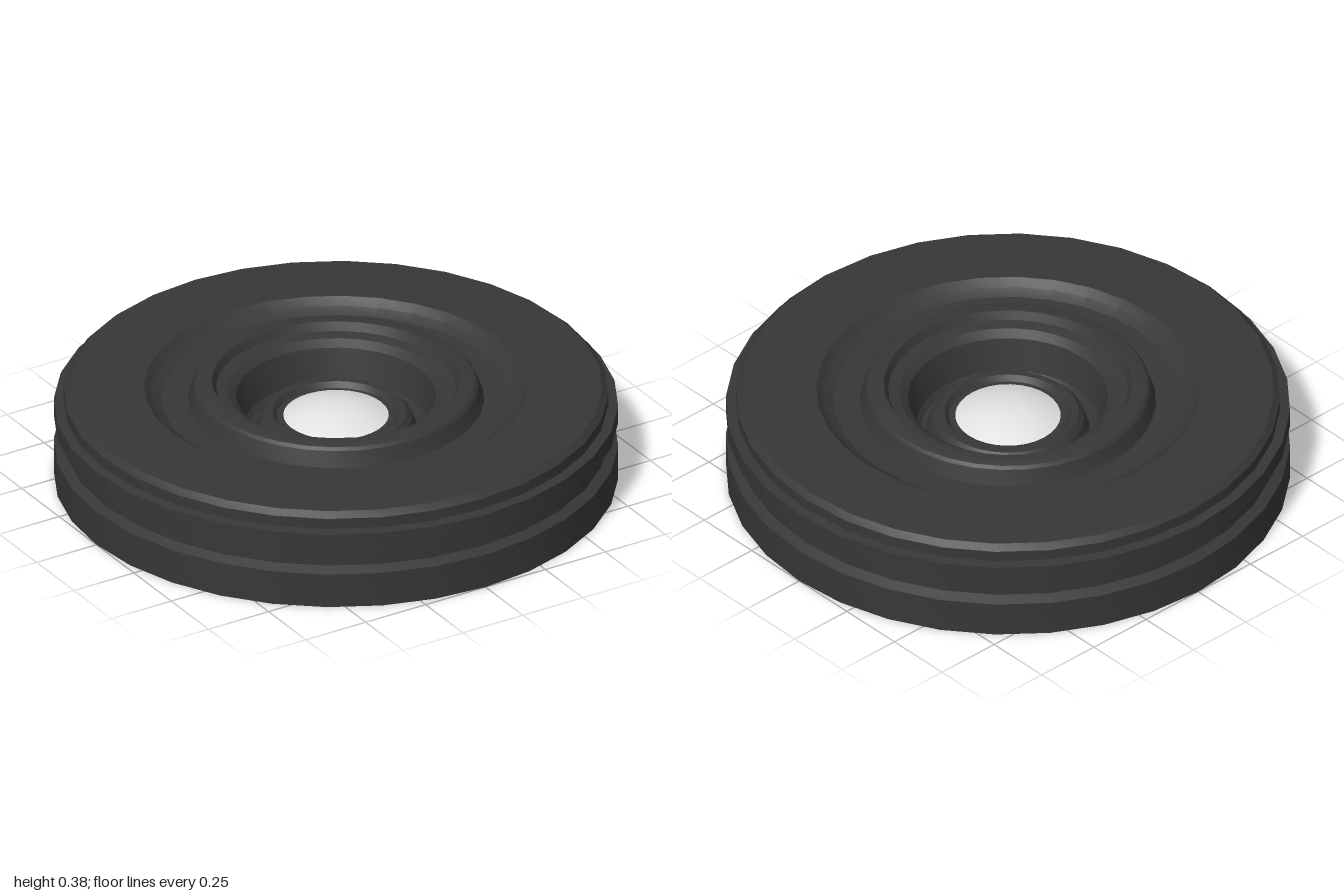
import * as THREE from 'three';
import { toCreasedNormals } from 'three/addons/utils/BufferGeometryUtils.js';

const SEGMENTS = 32;

export function createModel() {
  const model = new THREE.Group();
  model.name = 'roundSpeaker';

  const black = new THREE.MeshStandardMaterial({ color: 0x373737, side: THREE.DoubleSide });
  black.name = 'black rubber';
  const silver = new THREE.MeshStandardMaterial({ color: 0xe2e2e2, side: THREE.DoubleSide });
  silver.name = 'silver';

  // Turns a list of [radius, height] points into a round part with crisp edges
  const turn = (name, profile, material, crease = 0.35) => {
    const points = profile.map(([r, y]) => new THREE.Vector2(r, y));
    const geometry = toCreasedNormals(new THREE.LatheGeometry(points, SEGMENTS), crease);
    const mesh = new THREE.Mesh(geometry, material);
    mesh.name = name;
    model.add(mesh);
  };

  // Outer wall: bottom lip, recessed band, raised band and bevelled top edge
  turn('outerWall', [
    [0.975, 0], [1, 0], [1, 0.13], [0.965, 0.148], [0.965, 0.225],
    [1, 0.225], [1, 0.29], [0.965, 0.295], [0.965, 0.335], [0.943, 0.355],
  ], black);

  // Flat top plate with the groove around the raised collar
  turn('topPlate', [
    [0.943, 0.355], [0.68, 0.355], [0.655, 0.328], [0.62, 0.31], [0.525, 0.305],
  ], black);

  // Raised collar, stepping down on its inside
  turn('collar', [
    [0.525, 0.305], [0.505, 0.362], [0.495, 0.373], [0.47, 0.38],
    [0.44, 0.38], [0.425, 0.35], [0.385, 0.342], [0.355, 0.32],
  ], black);

  // Deep trough and the ridge that holds the dome
  turn('innerTrough', [
    [0.355, 0.32], [0.325, 0.2], [0.31, 0.18], [0.29, 0.18],
    [0.27, 0.235], [0.25, 0.255], [0.225, 0.255], [0.21, 0.235], [0.18, 0.235],
  ], black);

  // Shallow silver dome in the middle
  const dome = [];
  for (let i = 0; i <= 8; i++) {
    const r = 0.187 * (1 - i / 8);
    dome.push([r, 0.285 - 0.045 * (r / 0.187) ** 2]);
  }
  turn('centreDome', dome, silver, 0.8);

  return model;
}
